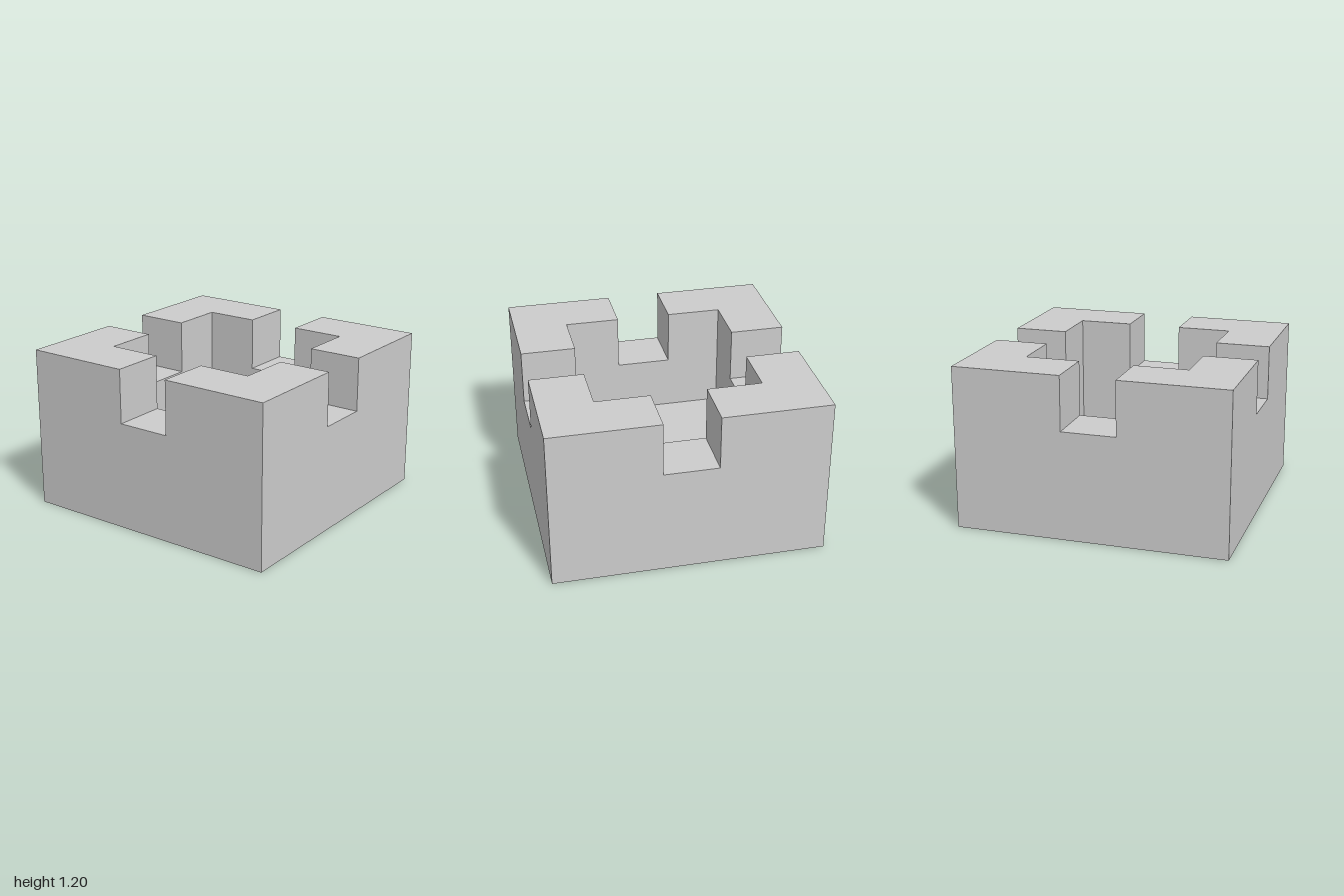
import * as THREE from 'three';

const HALF = 1, INNER = 0.6, NOTCH = 0.2;
const FLOOR = 0.4, SILL = 0.8, TOP = 1.2;

// Extrude a plan outline upward between two heights
function extrudeUp(points, y0, y1, material, name, hole) {
  const toVectors = (list) => list.map(([x, y]) => new THREE.Vector2(x, y));
  const shape = new THREE.Shape(toVectors(points));
  if (hole) shape.holes.push(new THREE.Path(toVectors(hole)));
  const geometry = new THREE.ExtrudeGeometry(shape, { depth: y1 - y0, bevelEnabled: false });
  geometry.rotateX(-Math.PI / 2);
  geometry.translate(0, y0, 0);
  const mesh = new THREE.Mesh(geometry, material);
  mesh.name = name;
  return mesh;
}

const square = (r) => [[-r, -r], [r, -r], [r, r], [-r, r]];

export function createModel() {
  const group = new THREE.Group();
  group.name = 'battlementTower';
  const stone = new THREE.MeshStandardMaterial({ color: 0xcccccc });
  stone.name = 'light grey stone';

  // Solid base with the courtyard floor on top
  group.add(extrudeUp(square(HALF), 0, FLOOR, stone, 'base'));

  // Wall ring up to the sills of the notches
  group.add(extrudeUp(square(HALF), FLOOR, SILL, stone, 'wallRing', square(INNER)));

  // L-shaped corner battlements, one per quarter turn
  const corner = [
    [NOTCH, INNER], [INNER, INNER], [INNER, NOTCH],
    [HALF, NOTCH], [HALF, HALF], [NOTCH, HALF],
  ];
  for (let i = 0; i < 4; i++) {
    const battlement = extrudeUp(corner, SILL, TOP, stone, `cornerBattlement${i + 1}`);
    battlement.rotation.y = (i * Math.PI) / 2;
    group.add(battlement);
  }
  return group;
}
